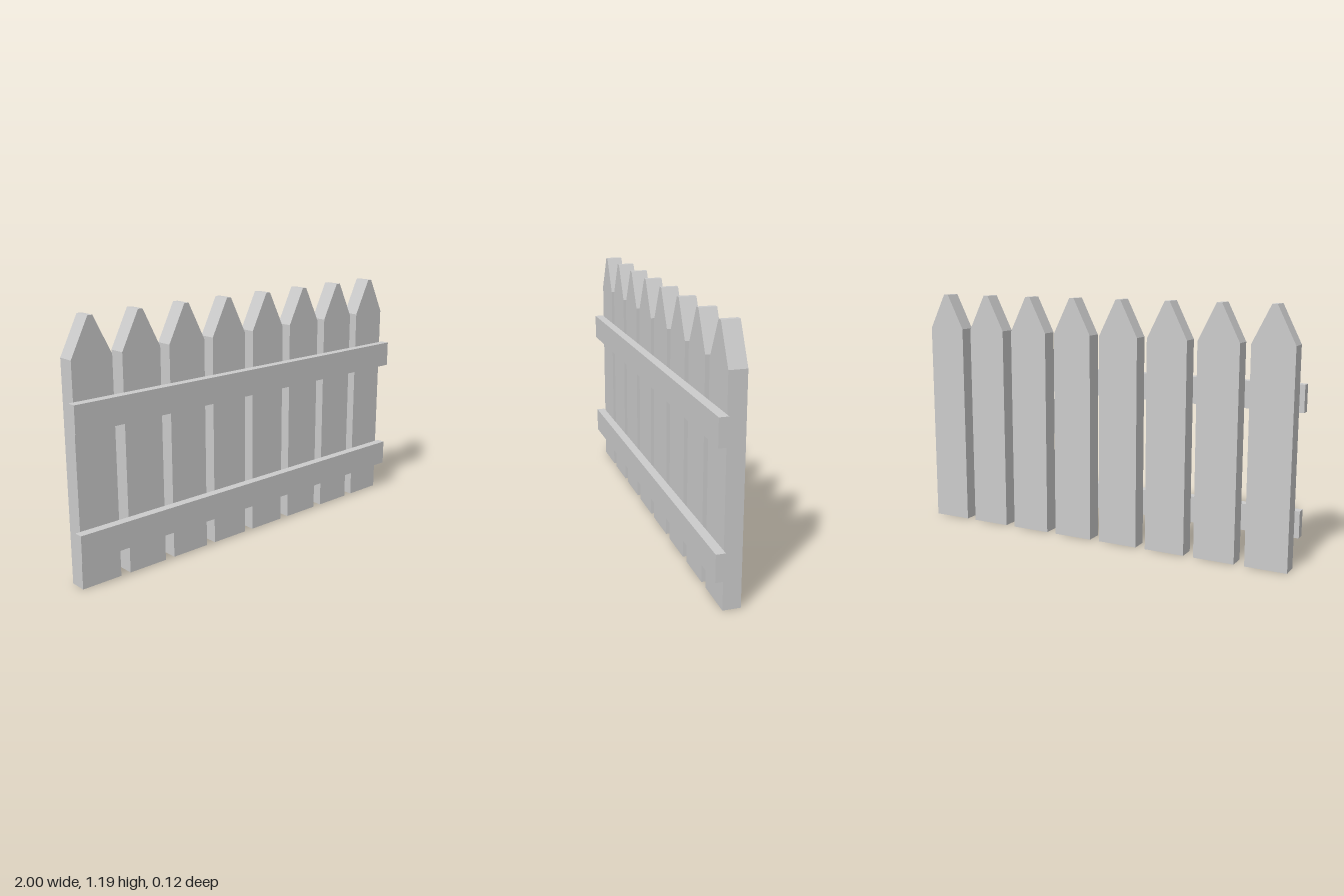
import * as THREE from 'three';

const PICKETS = 8;
const SPACING = 0.2505;
const HALF_WIDTH = 0.1;
const SHOULDER = 1.015;
const HEIGHT = 1.19;
const TIP = 0.012; // half width of the blunt tip
const BACK = -0.062, JOINT = 0.019, FRONT = 0.062;

export function createModel() {
  const group = new THREE.Group();
  group.name = 'picketFence';
  const material = new THREE.MeshStandardMaterial({ color: 0xcccccc, flatShading: true });

  // Pointed upright board, extruded from its front outline
  const outline = new THREE.Shape([
    [-HALF_WIDTH, 0], [HALF_WIDTH, 0], [HALF_WIDTH, SHOULDER],
    [TIP, HEIGHT], [-TIP, HEIGHT], [-HALF_WIDTH, SHOULDER],
  ].map(([x, y]) => new THREE.Vector2(x, y)));
  const picketGeometry = new THREE.ExtrudeGeometry(outline, {
    depth: JOINT - BACK, bevelEnabled: false,
  });

  // Row of pickets
  for (let i = 0; i < PICKETS; i++) {
    const picket = new THREE.Mesh(picketGeometry, material);
    picket.name = `picket${i + 1}`;
    picket.position.set((i - (PICKETS - 1) / 2) * SPACING, 0, BACK);
    group.add(picket);
  }

  // Two horizontal rails across the front
  const railGeometry = new THREE.BoxGeometry(2, 0.125, FRONT - JOINT);
  for (const [name, y] of [['lowerRail', 0.207], ['upperRail', 0.778]]) {
    const rail = new THREE.Mesh(railGeometry, material);
    rail.name = name;
    rail.position.set(0, y, (JOINT + FRONT) / 2);
    group.add(rail);
  }

  return group;
}
